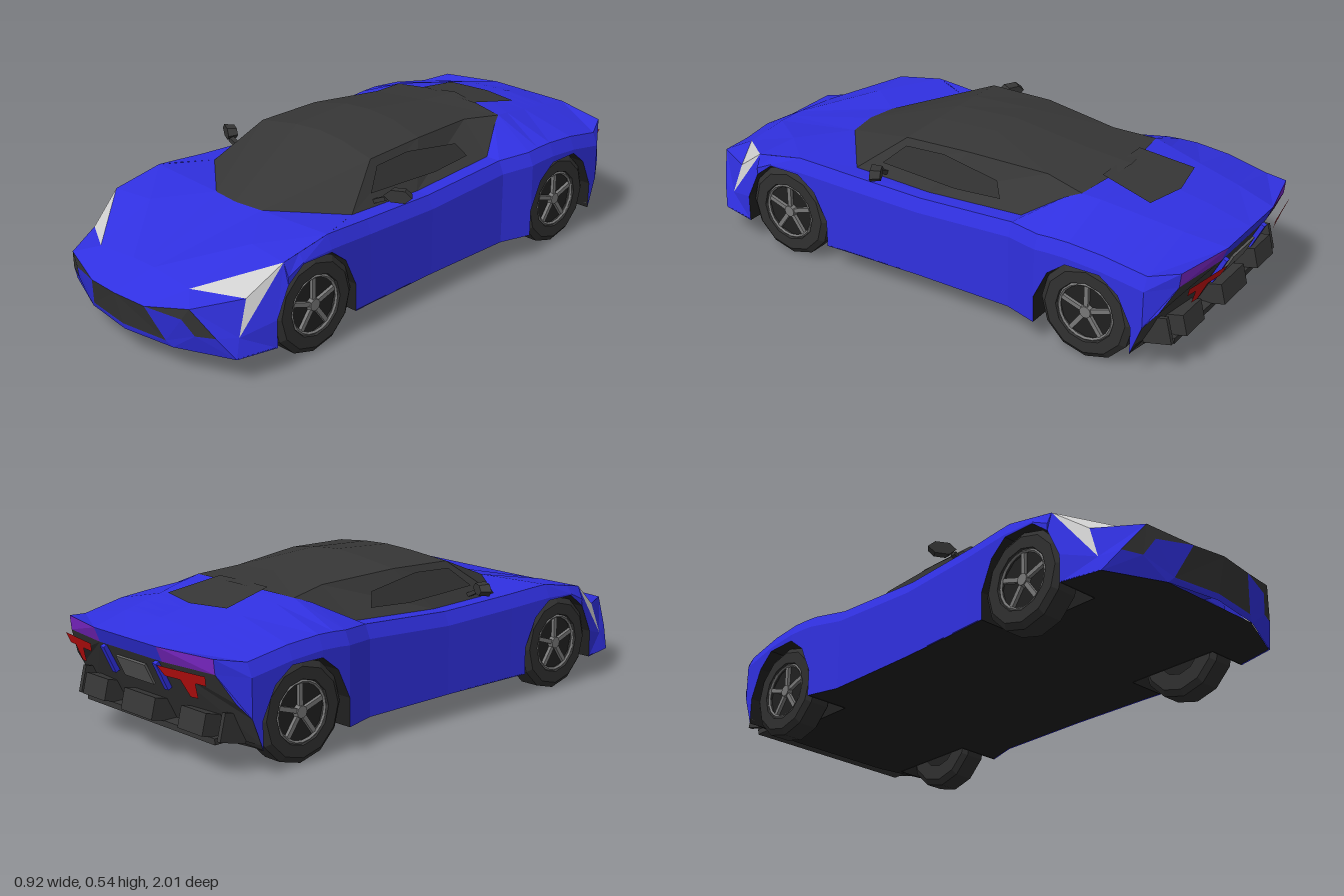
import * as THREE from 'three';

const mat = (name, color) => {
  const m = new THREE.MeshStandardMaterial({ color, flatShading: true, side: THREE.DoubleSide });
  m.name = name;
  return m;
};
const paint = mat('bluePaint', 0x3030e0), black = mat('blackTrim', 0x363636), under = mat('underbody', 0x202020),
  white = mat('headlightWhite', 0xd2d2d2), red = mat('tailRed', 0xc41010), purple = mat('tailPurple', 0x7a26c4),
  grey = mat('plateGrey', 0x5c5c5c), glass = mat('glass', 0x303030), metal = mat('rimMetal', 0x777777);

// Builds mirrored flat facets, each wound to face away from the middle of the car
function facets(name, material, polys) {
  const pos = [], n = new THREE.Vector3(), mid = new THREE.Vector3();
  for (const s of [1, -1]) for (const poly of polys) for (let i = 1; i < poly.length - 1; i++) {
    const t = [poly[0], poly[i], poly[i + 1]].map(p => new THREE.Vector3(p[0] * s, p[1], p[2]));
    const tri = new THREE.Triangle(...t);
    if (tri.getArea() < 1e-8) continue;
    tri.getNormal(n);
    tri.getMidpoint(mid);
    mid.sub(new THREE.Vector3(0, 0.2, THREE.MathUtils.clamp(mid.z, -0.7, 0.7)));
    if (n.dot(mid) < 0) t.reverse();
    t.forEach(p => pos.push(p.x, p.y, p.z));
  }
  const g = new THREE.BufferGeometry();
  g.setAttribute('position', new THREE.Float32BufferAttribute(pos, 3));
  g.computeVertexNormals();
  const m = new THREE.Mesh(g, material);
  m.name = name;
  return m;
}

// Joins rows of points into quads
function loft(rows) {
  const out = [];
  for (let i = 0; i < rows.length - 1; i++) for (let j = 0; j < rows[0].length - 1; j++)
    out.push([rows[i][j], rows[i][j + 1], rows[i + 1][j + 1], rows[i + 1][j]]);
  return out;
}

function box(name, material, size, position, rx = 0, rz = 0) {
  const m = new THREE.Mesh(new THREE.BoxGeometry(...size), material);
  m.position.set(...position);
  m.rotation.set(rx, 0, rz);
  m.name = name;
  return m;
}

// Body lines along the car: z, side width, shoulder height, inner edge x and y
const lines = [
  [.665, .43, .35, .41, .35], [.48, .43, .385, .41, .385], [.3, .42, .375, .335, .37],
  [0, .41, .365, .34, .365], [-.36, .41, .385, .335, .385], [-.48, .445, .393, .265, .455],
  [-.53, .445, .397, .24, .472], [-.65, .447, .4, .22, .45], [-.86, .435, .362, .19, .412]];
function lineAt(z) {
  const i = Math.max(1, lines.findIndex(k => k[0] <= z));
  const [a, b] = [lines[i - 1], lines[i]];
  const t = THREE.MathUtils.clamp((z - a[0]) / (b[0] - a[0]), 0, 1);
  return a.slice(1).map((v, j) => THREE.MathUtils.lerp(v, b[j + 1], t));
}
// Half section from the lower edge up to the inner edge
function section(z, low) {
  const [w, y, xi, yi] = lineAt(z);
  return [[w, low, z], [w, Math.max(low + .005, y - .045), z], [w - .02, y, z], [xi, yi, z]];
}

// Wheel arch: offset along z and height
const archHalf = [[.172, .085], [.172, .18], [.124, .28], [.06, .33]];
const arch = [...archHalf, ...archHalf.map(([z, y]) => [-z, y]).reverse()];
const axles = [.543, -.65];

// Wheel facing +x
function wheel() {
  const g = new THREE.Group();
  g.name = 'wheel';
  const add = (geo, material, name, x) => {
    const m = new THREE.Mesh(geo.rotateZ(-Math.PI / 2), material);
    m.position.x = x;
    m.name = name;
    g.add(m);
  };
  const profile = [[.09, -.05], [.145, -.05], [.165, -.035], [.165, .035], [.145, .05], [.105, .05], [.098, .03]];
  add(new THREE.LatheGeometry(profile.map(p => new THREE.Vector2(...p)), 12), glass, 'tyre', 0);
  add(new THREE.CylinderGeometry(.1, .1, .06, 12), under, 'rimDish', 0);
  add(new THREE.CylinderGeometry(.02, .024, .02, 10), metal, 'hub', .037);
  add(new THREE.TorusGeometry(.096, .006, 4, 20).rotateX(Math.PI / 2), metal, 'rimRing', .042);
  for (let i = 0; i < 5; i++) {
    const t = i * Math.PI * 2 / 5;
    g.add(box('spoke', metal, [.012, .085, .015], [.037, Math.cos(t) * .055, Math.sin(t) * .055], t));
  }
  return g;
}

export function createModel() {
  const car = new THREE.Group();
  car.name = 'sportsCar';

  // Sides, following the wheel arches, ending at the tail
  const archRows = zc => arch.map(([z, y]) => section(z + zc, y));
  const I = [.16, .385, -1], T = [.37, .378, -.95], M = [.37, .33, -.945], Lw = [.41, .24, -.9];
  const rows = [...archRows(axles[0]).slice(2), ...[.3, 0, -.36].map(z => section(z, .085)),
    ...archRows(axles[1]), section(-.86, .19), [Lw, M, T, I]];
  car.add(facets('bodySide', paint, loft(rows)));
  const inner = rows.map(r => r[3]);
  const [A, , F, , , , W2, S1, S2, S3, , E2] = inner;

  // Rear deck between the inner edges
  const tail = inner.slice(11);
  car.add(facets('rearDeck', paint, loft(tail.map((p, i) => [p, [0, p[1] + (i < tail.length - 1 ? .01 : 0), p[2]]]))));
  car.add(facets('engineVent', black, [[[0, .488, -.53], [.12, .486, -.53], [.15, .453, -.72], [0, .449, -.75]]]));

  // Bumper points lie on a curved, slightly raked nose
  const nose = (x, y) => [x, y, 1 - .7 * x * x - .25 * Math.max(0, .222 - y)];
  const N0 = nose(0, .222), N1 = nose(.13, .217), V1 = nose(.29, .247), V2 = nose(.355, .155), V3 = nose(.29, .15),
    V4 = nose(.26, .205), G = nose(.18, .105), G0 = nose(0, .105), L0 = nose(0, .085), L1 = nose(.2, .085),
    L2 = nose(.4, .085), B = [.22, .27, .88], C = [.375, .26, .79], D = [.385, .145, .83];
  car.add(facets('frontBumper', paint, [[N1, V4, G], [V4, V3, G], [G, V3, L1], [V3, V2, L2], [V3, L2, L1],
    [G, L1, L0, G0], [V2, D, L2], [V1, C, D, V2], [V1, B, C], [N1, B, V1]]));
  car.add(facets('grille', black, [[N0, N1, G, G0], [N1, V1, V4], [V1, V2, V3, V4]]));
  car.add(facets('headlight', white, [[A, B, C], [A, C, D]]));

  // Front corner up to the wheel arch
  const [a0, a1, a2] = archRows(axles[0]).map(r => r[0]);
  car.add(facets('frontCorner', paint, [[D, L2, a0, a1], [A, D, a1], [A, a1, a2], [A, a2, rows[0][1]]]));

  // Hood with raised centre wedge
  const K0 = [0, .285, .88], K1 = [.05, .285, .88], P = [.25, .354, .65], W0 = [0, .375, .5], W1 = [.11, .373, .485];
  car.add(facets('hood', paint, [[N0, N1, K1, K0], [N1, B, K1], [K0, K1, W1, W0], [K1, B, P], [B, A, P],
    [A, F, P], [P, F, W1], [K1, P, W1], [F, W2, W1]]));

  // Cabin
  const R0 = [0, .52, .115], R1 = [.11, .514, .12], R2 = [.26, .495, .14], T0 = [0, .535, -.12], T1 = [.11, .527, -.12],
    T2 = [.25, .502, -.1], M0 = [0, .5, -.4], M2 = [.21, .485, -.38], E0 = [0, .487, -.57];
  car.add(facets('windscreen', black, loft([[W0, W1, W2], [R0, R1, R2]])));
  car.add(facets('roof', black, [...loft([[R0, R1, R2], [T0, T1, T2]]), [T0, T1, M2, M0], [T1, T2, M2], [M0, M2, E2, E0]]));
  car.add(facets('cabinSide', black, [[W2, S1, T2, R2], [S1, S2, M2, T2], [S2, S3, E2, M2]]));
  const win = [[.41, .2], [.475, .13], [.482, -.02], [.455, -.24], [.41, -.27], [.4, -.1]];
  car.add(facets('sideWindow', glass, [win.map(([y, z]) => [.35 - (y - .365) * .64, y, z])]));

  // Rear face, lights and plate
  const Q = [.16, .335, -.98], Q0 = [0, .335, -.98], U = [.16, .1, -.86];
  car.add(facets('rearLip', paint, [[[0, .385, -1], I, Q, Q0]]));
  car.add(facets('tailLightTop', purple, [[I, T, M, Q]]));
  car.add(facets('rearPanel', black, [[Q0, Q, U, [0, .1, -.86]], [Q, M, Lw, [.435, .19, -.86], [.43, .1, -.82], U]]));
  const lamp = (x, y) => [x, y, -1.01 + .17 * (x - .16) + .36 * (.335 - y)];
  car.add(facets('tailLight', red, [[lamp(.17, .332), lamp(.36, .328), lamp(.35, .295), lamp(.19, .3)],
    [lamp(.25, .3), lamp(.31, .3), lamp(.3, .245), lamp(.27, .245)]]));
  car.add(box('licencePlate', grey, [.15, .075, .008], [0, .275, -.962], -.45));
  for (const s of [1, -1]) {
    car.add(box('rearFin', paint, [.02, .1, .02], [s * .135, .285, -.96], -.45));
    car.add(box('diffuserPod', black, [.12, .07, .11], [s * .25, .15, -.89], .25));
    car.add(box('diffuserBlade', black, [.015, .09, .1], [s * .36, .15, -.87], .25));
  }
  car.add(box('diffuserCentre', black, [.16, .07, .12], [0, .15, -.9], .25));
  car.add(box('diffuserBar', black, [.66, .02, .09], [0, .11, -.875]));

  // Underbody with wheel notches
  const notch = zc => [.172, -.172].flatMap((d, i) => {
    const pair = [[lineAt(zc + d)[0], zc + d], [.28, zc + d]];
    return i ? pair.reverse() : pair;
  });
  const half = [[.2, .935], [.4, .85], ...notch(axles[0]), [.41, 0], [.41, -.36], ...notch(axles[1]), [.2, -.86]];
  const outline = [...half, ...half.map(([x, z]) => [-x, z]).reverse()];
  const floor = new THREE.Mesh(new THREE.ShapeGeometry(new THREE.Shape(outline.map(p => new THREE.Vector2(...p)))), under);
  floor.rotation.x = Math.PI / 2;
  floor.position.y = .088;
  floor.name = 'underbody';
  car.add(floor);

  // Wheel wells and wheels
  for (const zc of axles) {
    const wall = arch.map(([z, y]) => [.28, y, z + zc]);
    car.add(facets('wheelWell', under, [...loft(wall.map(p => [p, [lineAt(p[2])[0], p[1], p[2]]])), wall]));
    for (const s of [1, -1]) {
      const w = wheel();
      w.position.set(s * .37, .165, zc);
      w.rotation.y = s < 0 ? Math.PI : 0;
      car.add(w);
    }
  }

  // Door mirrors
  for (const s of [1, -1]) {
    const head = new THREE.Mesh(new THREE.CylinderGeometry(.048, .04, .035, 6).rotateZ(0).rotateY(Math.PI / 6)
      .rotateX(Math.PI / 2).scale(1, .5, 1), black);
    head.position.set(s * .408, .418, .16);
    head.rotation.y = s * .5;
    head.name = 'mirror';
    car.add(head, box('mirrorStalk', black, [.06, .014, .02], [s * .35, .393, .185], 0, s * .45));
  }
  return car;
}
